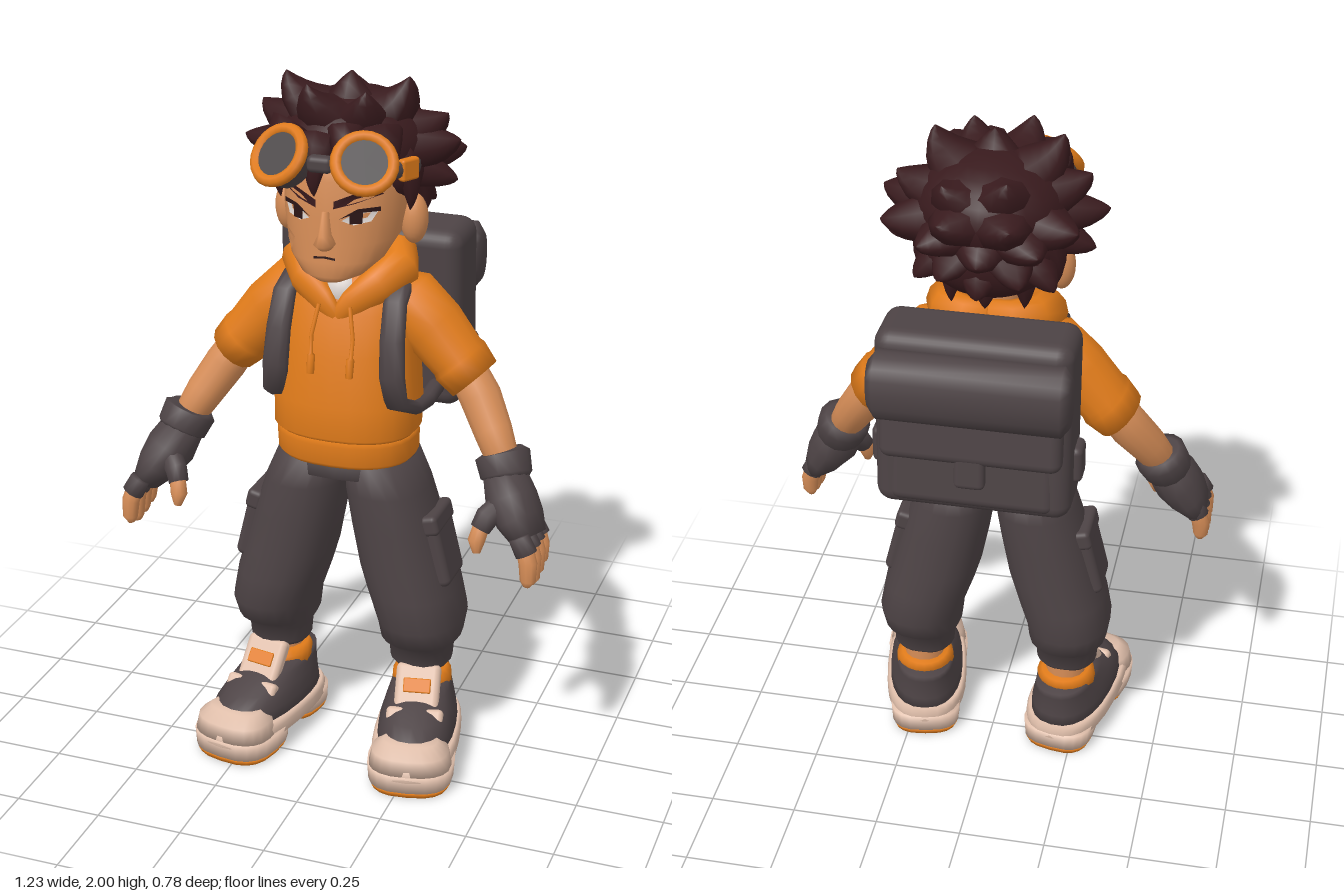
import * as THREE from 'three';
import { RoundedBoxGeometry } from 'three/addons/geometries/RoundedBoxGeometry.js';

const V = (x, y, z) => new THREE.Vector3(x, y, z);

// Skin of elliptical rings [x, y, z, a, b] along a path; a lies along ref, b across it.
function loft(rows, { n = 14, t = null, ref = V(0, 0, 1), p = 1 } = {}) {
  const pos = [], idx = [], last = rows.length - 1;
  const at = (i) => V(...rows[Math.min(Math.max(i, 0), last)].slice(0, 3));
  const sp = (v) => Math.sign(v) * Math.abs(v) ** p;
  rows.forEach(([, , , a, b], i) => {
    const c = at(i), tan = t || at(i + 1).sub(at(i - 1)).normalize();
    const u = ref.clone().addScaledVector(tan, -ref.dot(tan)).normalize();
    const w = tan.clone().cross(u);
    for (let j = 0; j < n; j++) {
      const g = (j / n) * Math.PI * 2;
      const q = c.clone().addScaledVector(u, sp(Math.cos(g)) * a).addScaledVector(w, sp(Math.sin(g)) * b);
      pos.push(q.x, q.y, q.z);
    }
  });
  for (let i = 0; i < last; i++) for (let j = 0; j < n; j++) {
    const k = (j + 1) % n, a = i * n + j, b = i * n + k;
    idx.push(a, b, a + n, b, b + n, a + n);
  }
  pos.push(...at(0).toArray(), ...at(last).toArray());
  const c0 = rows.length * n;
  for (let j = 0; j < n; j++) {
    const k = (j + 1) % n;
    idx.push(c0, k, j, c0 + 1, last * n + j, last * n + k);
  }
  const geo = new THREE.BufferGeometry();
  geo.setAttribute('position', new THREE.Float32BufferAttribute(pos, 3));
  geo.setIndex(idx);
  geo.computeVertexNormals();
  return geo;
}
// Level rings [y, cx, cz, rx, rz], from bottom to top
const stack = (rows, o = {}) => loft(rows.map(([y, x, z, a, b]) => [x, y, z, a, b]),
  { t: V(0, 1, 0), ref: V(1, 0, 0), n: 20, ...o });
const ball = (x, y, z, a, b, c) => new THREE.SphereGeometry(1, 20, 14).scale(a, b, c).translate(x, y, z);
const rbox = (w, h, d, x, y, z, r = 0.02, tilt = 0) =>
  new RoundedBoxGeometry(w, h, d, 3, r).rotateX(tilt).translate(x, y, z);

function mirrored(geo) {
  const g = geo.clone().scale(-1, 1, 1);
  if (!g.index) g.setIndex([...Array(g.attributes.position.count).keys()]);
  const ix = g.index.array;
  for (let i = 0; i < ix.length; i += 3) [ix[i], ix[i + 1]] = [ix[i + 1], ix[i]];
  return g;
}

const HEAD = [[1.472, 0, 0.2, 0.04, 0.035], [1.49, 0, 0.185, 0.085, 0.065], [1.53, 0, 0.14, 0.13, 0.11],
  [1.58, 0, 0.09, 0.155, 0.155], [1.65, 0, 0.075, 0.168, 0.168], [1.75, 0, 0.05, 0.175, 0.185],
  [1.8, 0, 0.05, 0.165, 0.165], [1.88, 0, 0.03, 0.11, 0.11]];
// Depth of the face at a given point
function faceZ(x, y) {
  const i = Math.max(0, HEAD.findIndex((r) => r[0] > y) - 1), a = HEAD[i], b = HEAD[i + 1];
  const m = (k) => THREE.MathUtils.lerp(a[k], b[k], (y - a[0]) / (b[0] - a[0]));
  return m(2) + m(4) * Math.sqrt(Math.max(0, 1 - (x / m(3)) ** 2));
}
// Thin plate wrapped on the face
function facePlate(pts, off) {
  const g = new THREE.ShapeGeometry(new THREE.Shape(pts.map((q) => new THREE.Vector2(...q))));
  const P = g.attributes.position;
  for (let i = 0; i < P.count; i++) P.setZ(i, faceZ(P.getX(i), P.getY(i)) + off);
  g.computeVertexNormals();
  return g;
}
// Curved, pointed lock of hair
function lock(base, ctrl, tip, r) {
  const curve = new THREE.QuadraticBezierCurve3(base, ctrl, tip);
  const rows = [0, 0.2, 0.4, 0.6, 0.8, 0.92, 1].map((s) => {
    const q = curve.getPoint(s), k = r * Math.max(0.02, (1 - s) ** 0.75);
    return [q.x, q.y, q.z, k, k * 0.75];
  });
  return loft(rows, { n: 8, ref: V(tip.z, 0, -tip.x).normalize() });
}

export function createModel() {
  const model = new THREE.Group();
  model.name = 'explorer';
  const colours = { orange: 0xe07b1a, charcoal: 0x4d4345, hairBrown: 0x381a1d, skin: 0xd68d57,
    beige: 0xdfbeaa, white: 0xdcd4d0, lensGrey: 0x4d494a, browDark: 0x2a1516 };
  const M = {};
  for (const [name, color] of Object.entries(colours)) {
    M[name] = new THREE.MeshStandardMaterial({ color });
    M[name].name = name;
  }
  const add = (name, geo, mat, parent = model) => {
    const m = new THREE.Mesh(geo, M[mat]);
    m.name = name;
    parent.add(m);
  };
  const pair = (name, geo, mat) => {
    add(name + 'Left', geo, mat);
    add(name + 'Right', mirrored(geo), mat);
  };

  // Head and face
  add('head', stack(HEAD, { n: 28 }), 'skin');
  add('neck', new THREE.CylinderGeometry(0.065, 0.075, 0.2, 16).translate(0, 1.46, 0.04), 'skin');
  add('nose', stack([[1.568, 0, 0.24, 0.018, 0.025], [1.585, 0, 0.24, 0.03, 0.05],
    [1.61, 0, 0.24, 0.018, 0.036], [1.67, 0, 0.235, 0.012, 0.015]], { n: 10 }), 'skin');
  pair('ear', ball(0.181, 1.612, 0.04, 0.038, 0.07, 0.04), 'skin');
  pair('eyeWhite', facePlate([[0.045, 1.65], [0.075, 1.638], [0.115, 1.645], [0.13, 1.672], [0.085, 1.675]], 0.006), 'white');
  pair('iris', facePlate([[0.066, 1.642], [0.096, 1.642], [0.098, 1.674], [0.066, 1.668]], 0.009), 'browDark');
  pair('eyelid', facePlate([[0.04, 1.655], [0.085, 1.672], [0.135, 1.67], [0.135, 1.682], [0.085, 1.682]], 0.01), 'browDark');
  pair('eyebrow', facePlate([[0.025, 1.682], [0.08, 1.697], [0.14, 1.715], [0.13, 1.73], [0.075, 1.722], [0.025, 1.702]], 0.01), 'hairBrown');
  add('mouth', facePlate([[-0.03, 1.541], [0, 1.545], [0.03, 1.541], [0.03, 1.547], [0, 1.551], [-0.03, 1.547]], 0.006), 'browDark');
  add('cheekPlaster', facePlate([[-0.14, 1.56], [-0.11, 1.545], [-0.095, 1.585], [-0.125, 1.6]], 0.007), 'skin');

  // Hair: a cap, a nape, sides, locks that sweep out and up, and locks that hang; each by its tip
  add('hairCap', ball(0, 1.805, 0, 0.21, 0.145, 0.205), 'hairBrown');
  add('hairNape', ball(0, 1.69, -0.055, 0.18, 0.13, 0.125), 'hairBrown');
  pair('hairSide', ball(0.115, 1.745, 0.04, 0.09, 0.085, 0.115), 'hairBrown');
  const swept = [[-0.18, 1.99, 0.05, 0.12], [0.0, 2.0, 0.03, 0.12], [0.16, 1.995, 0.03, 0.12], [-0.08, 1.985, 0.16, 0.11],
    [0.08, 1.975, 0.15, 0.1], [-0.26, 1.9, 0.02, 0.11], [0.25, 1.89, -0.03, 0.11], [-0.31, 1.8, 0.03, 0.095],
    [0.295, 1.83, 0.0, 0.11], [-0.28, 1.7, -0.01, 0.085], [0.28, 1.71, -0.03, 0.09], [-0.25, 1.8, -0.14, 0.11],
    [0.28, 1.78, -0.11, 0.11], [-0.07, 1.94, -0.17, 0.12], [0.1, 1.92, -0.17, 0.12], [-0.09, 1.84, -0.245, 0.11],
    [0.1, 1.84, -0.24, 0.11], [-0.16, 1.76, -0.22, 0.1], [0.16, 1.76, -0.21, 0.1], [0, 1.72, -0.23, 0.1],
    [-0.11, 1.66, -0.21, 0.09], [0.11, 1.66, -0.2, 0.09], [-0.19, 1.62, -0.13, 0.085], [0.19, 1.62, -0.12, 0.085], [0.01, 1.6, -0.18, 0.09]];
  const root = V(0, 1.78, 0);
  for (const [x, y, z, r] of swept) {
    const tip = V(x, y, z), out = V(x, 0, z).setLength(0.04);
    const ctrl = root.clone().lerp(tip, 0.72).add(out).add(V(0, -0.015, 0));
    add('hairLock', lock(root.clone().lerp(tip, 0.4), ctrl, tip, r), 'hairBrown');
  }
  const hanging = [[-0.185, 1.65, 0.09, 0.055], [0.185, 1.65, 0.09, 0.055], [-0.03, 1.71, 0.245, 0.055], [0.055, 1.74, 0.245, 0.05],
    [-0.15, 1.73, 0.2, 0.065], [0.15, 1.73, 0.2, 0.065], [-0.18, 1.6, -0.05, 0.065], [0.18, 1.6, -0.05, 0.065],
    [-0.1, 1.53, -0.07, 0.065], [0.1, 1.53, -0.07, 0.065], [0, 1.54, -0.11, 0.07]];
  for (const [x, y, z, r] of hanging) {
    add('hairFringe', lock(V(x * 0.82, y + 0.15, z * 0.82), V(x * 1.08, y + 0.08, z * 1.08), V(x, y, z), r), 'hairBrown');
  }

  // Goggles resting on the forehead
  for (const s of [-1, 1]) {
    const g = new THREE.Group();
    g.name = s > 0 ? 'goggleLeft' : 'goggleRight';
    g.position.set(s * 0.115, 1.815, 0.26);
    g.lookAt(s * 0.465, 2.435, 1.06);
    add('cup', new THREE.CylinderGeometry(0.08, 0.07, 0.06, 20).rotateX(Math.PI / 2).translate(0, 0, -0.02), 'charcoal', g);
    add('rim', new THREE.TorusGeometry(0.074, 0.0165, 8, 24).translate(0, 0, 0.01), 'orange', g);
    add('lens', new THREE.CylinderGeometry(0.063, 0.063, 0.008, 20).rotateX(Math.PI / 2).translate(0, 0, 0.014), 'lensGrey', g);
    model.add(g);
  }
  add('goggleBridge', rbox(0.07, 0.045, 0.04, 0, 1.81, 0.275, 0.015), 'charcoal');
  pair('goggleClip', new RoundedBoxGeometry(0.025, 0.06, 0.06, 2, 0.008).rotateY(-0.5).translate(0.203, 1.785, 0.16), 'orange');
  pair('goggleStrap', loft([[0.17, 1.79, 0.22, 0.022, 0.012], [0.205, 1.785, 0.15, 0.022, 0.012],
    [0.205, 1.775, 0.09, 0.022, 0.01]], { ref: V(0, 1, 0), n: 8 }), 'charcoal');

  // Hooded top
  add('torso', stack([[0.995, 0, 0.06, 0.195, 0.155], [1.01, 0, 0.065, 0.208, 0.165], [1.1, 0, 0.062, 0.21, 0.162],
    [1.25, 0, 0.05, 0.198, 0.15], [1.36, 0, 0.035, 0.2, 0.13], [1.44, 0, 0.025, 0.175, 0.11], [1.49, 0, 0.02, 0.11, 0.08]], { p: 0.85, n: 28 }), 'orange');
  add('hem', stack([[0.918, 0, 0.06, 0.19, 0.15], [0.93, 0, 0.06, 0.199, 0.16], [0.985, 0, 0.062, 0.201, 0.162],
    [1.0, 0, 0.062, 0.193, 0.155]], { p: 0.85, n: 28 }), 'orange');
  add('undershirt', ball(0, 1.41, 0.1, 0.06, 0.06, 0.054), 'white');
  pair('hood', loft([[0.004, 1.345, 0.155, 0.025, 0.015], [0.042, 1.385, 0.148, 0.042, 0.025], [0.1, 1.43, 0.11, 0.056, 0.048],
    [0.14, 1.46, 0.045, 0.066, 0.06], [0.12, 1.472, -0.02, 0.066, 0.055], [0.06, 1.472, -0.05, 0.062, 0.052],
    [0, 1.472, -0.055, 0.062, 0.05]], { ref: V(0, 1, 0), n: 12 }), 'orange');
  pair('drawstring', loft([[0.045, 1.385, 0.175, 0.006, 0.006], [0.06, 1.3, 0.195, 0.006, 0.006], [0.058, 1.25, 0.205, 0.006, 0.006],
    [0.057, 1.245, 0.207, 0.012, 0.012], [0.056, 1.195, 0.216, 0.011, 0.011]], { n: 8 }), 'orange');
  pair('sleeve', loft([[0.1, 1.4, 0.02, 0.06, 0.06], [0.16, 1.37, 0.02, 0.09, 0.095], [0.235, 1.3, 0.022, 0.09, 0.092],
    [0.305, 1.222, 0.026, 0.088, 0.08], [0.315, 1.21, 0.026, 0.096, 0.084], [0.358, 1.165, 0.03, 0.09, 0.074]]), 'orange');

  // Arms, gloves and fingers
  pair('arm', loft([[0.32, 1.21, 0.025, 0.055, 0.055], [0.38, 1.12, 0.045, 0.06, 0.06], [0.43, 1.04, 0.085, 0.054, 0.055],
    [0.475, 0.96, 0.12, 0.045, 0.045]]), 'skin');
  pair('gloveCuff', loft([[0.462, 0.997, 0.11, 0.06, 0.06], [0.466, 0.987, 0.112, 0.076, 0.077], [0.485, 0.938, 0.135, 0.072, 0.072],
    [0.488, 0.928, 0.14, 0.06, 0.06]], { ref: V(0, 0.25, 1) }), 'charcoal');
  pair('glove', loft([[0.475, 0.95, 0.13, 0.058, 0.06], [0.508, 0.885, 0.162, 0.082, 0.072], [0.54, 0.835, 0.18, 0.09, 0.062],
    [0.57, 0.79, 0.195, 0.082, 0.042]]), 'charcoal');
  for (let i = 0; i < 4; i++) {
    const z = 0.135 + 0.043 * i, tip = 0.668 + 0.012 * Math.abs(i - 1.8);
    pair('gloveFinger', loft([[0.56, 0.82, z, 0.022, 0.03], [0.584, 0.775, z + 0.004, 0.025, 0.032]], { n: 10 }), 'charcoal');
    pair('finger', loft([[0.575, 0.8, z, 0.021, 0.024], [0.59, 0.75, z + 0.008, 0.021, 0.026], [0.592, tip + 0.018, z + 0.012, 0.019, 0.022],
      [0.588, tip, z + 0.012, 0.009, 0.01]], { n: 10 }), 'skin');
  }
  pair('gloveThumb', loft([[0.505, 0.89, 0.19, 0.035, 0.035], [0.46, 0.85, 0.235, 0.03, 0.034], [0.447, 0.82, 0.25, 0.028, 0.029]], { n: 10 }), 'charcoal');
  pair('thumb', loft([[0.452, 0.835, 0.248, 0.023, 0.023], [0.441, 0.79, 0.264, 0.023, 0.024], [0.444, 0.757, 0.27, 0.01, 0.011]], { n: 10 }), 'skin');

  // Baggy trousers
  add('trouserHips', stack([[0.86, 0, 0.053, 0.1, 0.1], [0.875, 0, 0.053, 0.205, 0.143], [0.95, 0, 0.055, 0.188, 0.14]], { p: 0.85 }), 'charcoal');
  pair('trouserLeg', stack([[0.265, 0.22, 0.045, 0.078, 0.07], [0.28, 0.22, 0.045, 0.09, 0.082], [0.33, 0.22, 0.045, 0.094, 0.09],
    [0.365, 0.222, 0.048, 0.116, 0.135], [0.43, 0.224, 0.05, 0.124, 0.165], [0.52, 0.2, 0.052, 0.132, 0.16], [0.6, 0.175, 0.053, 0.131, 0.157],
    [0.72, 0.147, 0.055, 0.127, 0.15], [0.83, 0.12, 0.055, 0.118, 0.147], [0.92, 0.1, 0.055, 0.099, 0.135]], { p: 0.9 }), 'charcoal');
  pair('cargoPocket', new RoundedBoxGeometry(0.05, 0.2, 0.15, 3, 0.02).rotateZ(0.24).translate(0.283, 0.65, 0.06), 'charcoal');
  pair('pocketFlap', new RoundedBoxGeometry(0.05, 0.06, 0.16, 3, 0.015).rotateZ(0.24).translate(0.265, 0.74, 0.06), 'charcoal');
  pair('ankle', new THREE.CylinderGeometry(0.06, 0.06, 0.14, 14).translate(0.22, 0.24, 0.03), 'skin');

  // Shoes, built around the heel and turned out
  const shoe = (name, geo, mat) => pair('shoe' + name, geo.rotateY(0.19).translate(0.213, 0, 0), mat);
  for (const [cz, rz, w] of [[0.268, 0.122, 0.122], [-0.002, 0.096, 0.104]]) {
    shoe('Tread', stack([[0, 0, cz, w * 0.93, rz * 0.94], [0.018, 0, cz, w, rz]], { p: 0.7 }), 'orange');
    shoe('SolePad', stack([[0.018, 0, cz, w, rz], [0.07, 0, cz, w * 1.03, rz * 1.02]], { p: 0.7 }), 'beige');
  }
  shoe('Midsole', stack([[0.035, 0, 0.143, 0.105, 0.235], [0.055, 0, 0.147, 0.124, 0.247], [0.085, 0, 0.144, 0.124, 0.243],
    [0.1, 0, 0.138, 0.116, 0.228]], { p: 0.75, n: 28 }), 'beige');
  shoe('Upper', stack([[0.08, 0, 0.13, 0.114, 0.222], [0.13, 0, 0.13, 0.11, 0.214], [0.165, 0, 0.098, 0.099, 0.18],
    [0.195, 0, 0.06, 0.088, 0.142], [0.215, 0, 0.03, 0.08, 0.114]], { p: 0.85, n: 24 }), 'charcoal');
  shoe('ToeCap', stack([[0.07, 0, 0.3, 0.119, 0.09], [0.115, 0, 0.3, 0.11, 0.08], [0.142, 0, 0.298, 0.078, 0.045]], { p: 0.8 }), 'beige');
  shoe('Collar', stack([[0.185, 0, 0.045, 0.088, 0.095], [0.225, 0, 0.035, 0.086, 0.09], [0.24, 0, 0.03, 0.07, 0.08]]), 'orange');
  shoe('Tongue', rbox(0.13, 0.18, 0.045, 0, 0.206, 0.155, 0.018, -0.62), 'beige');
  shoe('TongueTab', rbox(0.08, 0.042, 0.009, 0, 0.238, 0.161, 0.004, -0.62), 'orange');
  shoe('Lace', rbox(0.165, 0.045, 0.045, 0, 0.163, 0.205, 0.014, -0.62), 'beige');

  // Backpack with rolled top, pocket and buckle
  add('backpack', rbox(0.54, 0.53, 0.2, 0, 1.268, -0.2, 0.045, 0.04), 'charcoal');
  add('backpackRoll', loft([[-0.272, 1.4, -0.315, 0.07, 0.045], [-0.25, 1.4, -0.315, 0.1, 0.07], [0.25, 1.4, -0.315, 0.1, 0.07],
    [0.272, 1.4, -0.315, 0.07, 0.045]], { ref: V(0, 1, 0), p: 0.9, n: 16 }), 'charcoal');
  add('backpackFlap', rbox(0.5, 0.16, 0.07, 0, 1.255, -0.3, 0.03, 0.1), 'charcoal');
  add('backpackPocket', rbox(0.46, 0.2, 0.07, 0, 1.125, -0.275, 0.03, 0.08), 'charcoal');
  add('buckle', rbox(0.085, 0.11, 0.04, 0, 1.16, -0.32, 0.016, 0.08), 'charcoal');
  pair('sideTab', rbox(0.05, 0.11, 0.08, 0.267, 1.15, -0.2, 0.018), 'charcoal');
  pair('shoulderStrap', loft([[0.155, 1.425, 0.07, 0.034, 0.018], [0.16, 1.395, 0.135, 0.034, 0.018],
    [0.165, 1.3, 0.172, 0.036, 0.02], [0.17, 1.2, 0.187, 0.038, 0.02], [0.178, 1.12, 0.172, 0.036, 0.02],
    [0.203, 1.085, 0.1, 0.03, 0.02], [0.21, 1.07, 0.0, 0.024, 0.02], [0.205, 1.07, -0.12, 0.024, 0.02]], { ref: V(1, 0, 0), n: 10, p: 0.8 }), 'charcoal');
  return model;
}
